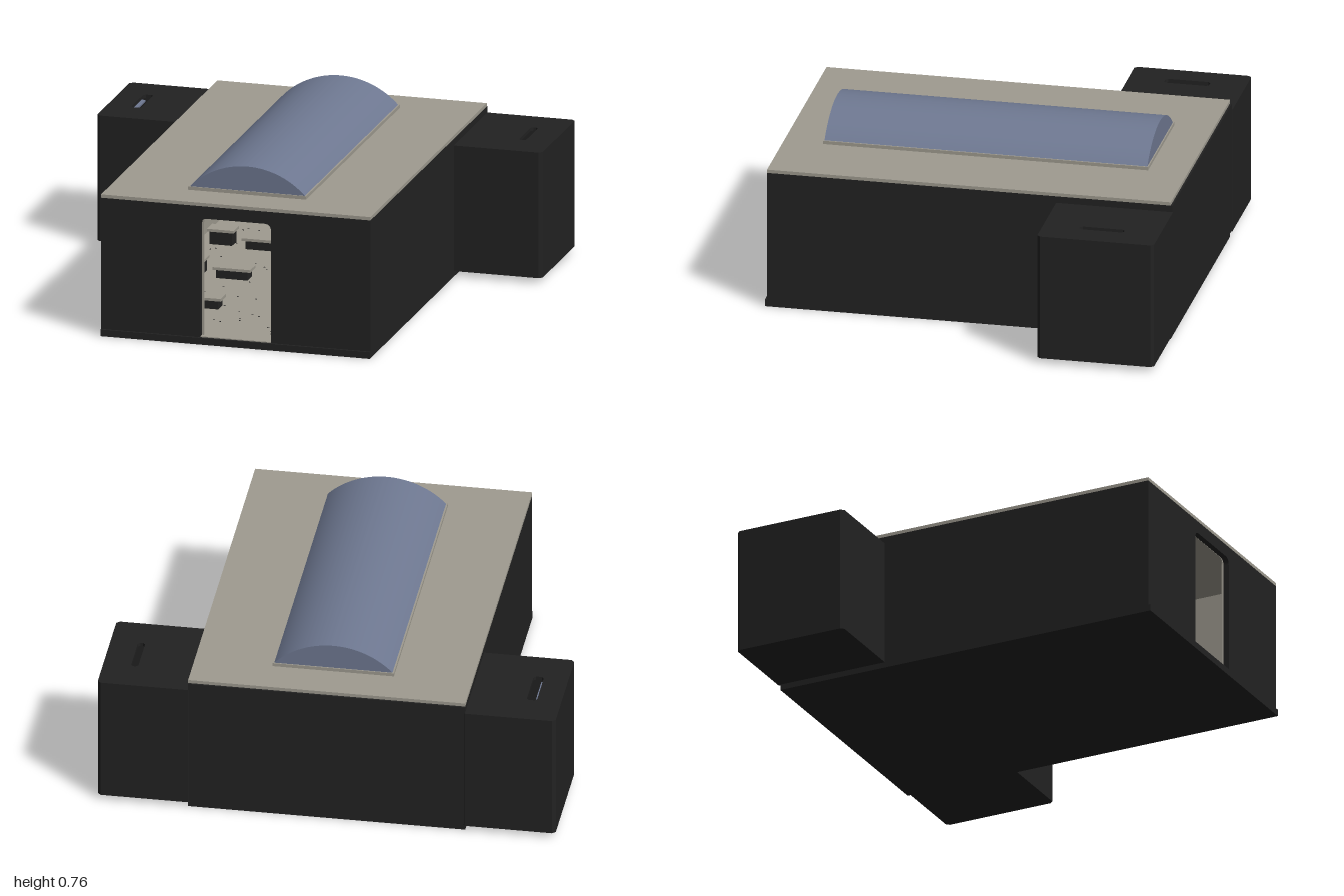
import * as THREE from 'three';
import { toCreasedNormals } from 'three/addons/utils/BufferGeometryUtils.js';

const mat = (name, color) => {
  const m = new THREE.MeshStandardMaterial({ color });
  m.name = name;
  return m;
};

export function createModel() {
  const group = new THREE.Group();
  const dark = mat('charcoal', 0x222222);
  const stone = mat('warm stone', 0x9f9b90);
  const glass = mat('blue glass', 0x6e7891);

  const add = (name, geometry, material, parent = group) => {
    const mesh = new THREE.Mesh(geometry, material);
    mesh.name = name;
    parent.add(mesh);
    return mesh;
  };
  // Box given by its limits on each axis
  const box = (name, material, x0, x1, y0, y1, z0, z1, parent) => {
    const g = new THREE.BoxGeometry(x1 - x0, y1 - y0, z1 - z0);
    g.translate((x0 + x1) / 2, (y0 + y1) / 2, (z0 + z1) / 2);
    return add(name, g, material, parent);
  };
  // Rectangle with its corners cut off
  const rect = (x0, x1, y0, y1, c = 0) => {
    const pts = c
      ? [[x0 + c, y0], [x1 - c, y0], [x1, y0 + c], [x1, y1 - c], [x1 - c, y1], [x0 + c, y1], [x0, y1 - c], [x0, y0 + c]]
      : [[x0, y0], [x1, y0], [x1, y1], [x0, y1]];
    return new THREE.Shape(pts.map(([x, y]) => new THREE.Vector2(x, y)));
  };
  const extrude = (shape, depth) =>
    new THREE.ExtrudeGeometry(shape, { depth, bevelEnabled: false, curveSegments: 12 });
  // Plan drawn in x and z, extruded downwards from the given top
  const plan = (shape, y0, y1) => extrude(shape, y1 - y0).rotateX(Math.PI / 2).translate(0, y1, 0);

  // Base and floor
  box('base', dark, -0.605, 0.605, 0, 0.03, -0.89, 0.9);
  box('floor', stone, -0.57, 0.57, 0.03, 0.034, -0.86, 0.888);

  // Front wall with round-topped doorway
  const frontShape = () => {
    const s = new THREE.Shape();
    s.moveTo(-0.605, 0.03);
    s.lineTo(-0.158, 0.03);
    s.lineTo(-0.158, 0.535);
    s.quadraticCurveTo(-0.158, 0.565, -0.128, 0.565);
    s.lineTo(0.128, 0.565);
    s.quadraticCurveTo(0.158, 0.565, 0.158, 0.535);
    s.lineTo(0.158, 0.03);
    s.lineTo(0.605, 0.03);
    s.lineTo(0.605, 0.62);
    s.lineTo(-0.605, 0.62);
    return s;
  };
  add('frontWall', extrude(frontShape(), 0.025).translate(0, 0, 0.865), dark);
  const liner = extrude(frontShape(), 0.005).scale(0.95, 1, 1).translate(0, 0, 0.859);
  add('frontLining', liner, stone);

  // Side and back walls with pale lining
  for (const s of [-1, 1]) {
    const side = (name, m, a, b, z0, z1) =>
      box(name, m, Math.min(s * a, s * b), Math.max(s * a, s * b), 0.03, 0.62, z0, z1);
    side('sideWall', dark, 0.575, 0.605, -0.89, 0.865);
    side('sideLining', stone, 0.57, 0.575, -0.86, 0.865);
  }
  box('backWall', dark, -0.605, 0.605, 0.03, 0.62, -0.898, -0.865);
  box('backLining', stone, -0.575, 0.575, 0.03, 0.62, -0.865, -0.86);

  // Roof slab and skylight curb, open beneath the vault
  const frame = (x, z0, z1) => {
    const s = rect(-x, x, z0, z1);
    s.holes.push(rect(-0.24, 0.24, -0.69, 0.69));
    return s;
  };
  add('roof', plan(frame(0.605, -0.89, 0.89), 0.62, 0.635), stone);
  add('skylightCurb', plan(frame(0.265, -0.717, 0.717), 0.635, 0.65), stone);

  // Vaulted skylight
  const half = 0.26, rise = 0.112;
  const radius = (half * half + rise * rise) / (2 * rise);
  const angle = Math.asin(half / radius);
  const arc = new THREE.Shape();
  arc.absarc(0, 0.648 + rise - radius, radius, Math.PI / 2 - angle, Math.PI / 2 + angle, false);
  arc.closePath();
  const vault = new THREE.ExtrudeGeometry(arc, { depth: 1.424, bevelEnabled: false, curveSegments: 40 });
  add('skylight', toCreasedNormals(vault.translate(0, 0, -0.712), 0.5), glass);

  // Rear side wings: chamfered walls, floor and slotted roof
  for (const s of [-1, 1]) {
    const wing = new THREE.Group();
    wing.name = s > 0 ? 'leftWing' : 'rightWing';
    group.add(wing);
    const span = (a, b) => (s > 0 ? [a, b] : [-b, -a]);
    const outer = () => rect(...span(0.59, 1), -0.9, -0.385, 0.014);
    const walls = outer();
    walls.holes.push(rect(...span(0.61, 0.975), -0.875, -0.41));
    add('wingWalls', plan(walls, 0.035, 0.575), dark, wing);
    add('wingBase', plan(outer(), 0.025, 0.035), dark, wing);
    box('wingFloor', stone, ...span(0.61, 0.975), 0.035, 0.04, -0.875, -0.41, wing);
    const top = outer();
    top.holes.push(rect(...span(0.848, s > 0 ? 0.88 : 0.893), -0.742, -0.545, 0.01));
    add('wingRoof', plan(top, 0.575, 0.59), dark, wing);
  }
  box('slotGlass', glass, -0.9, -0.882, 0.56, 0.568, -0.735, -0.55);

  // Low benches and stools beside the hall's central aisle
  const furniture = (name, x, z, w, d, h) => {
    const g = new THREE.Group();
    g.name = name;
    g.position.set(x, 0.034, z);
    group.add(g);
    box('seatTop', stone, -w / 2, w / 2, h - 0.012, h, -d / 2, d / 2, g);
    box('seatBase', dark, -w * 0.42, w * 0.42, 0, h - 0.012, -d * 0.4, d * 0.4, g);
  };
  for (const s of [-1, 1]) {
    for (const z of [0.45, 0, -0.45]) {
      furniture('bench', s * 0.27, z, 0.17, 0.08, 0.05);
      furniture('sideBench', s * 0.46, z - 0.03, 0.12, 0.08, 0.07);
    }
    furniture('stool', s * 0.25, 0.64, 0.05, 0.05, 0.03);
  }

  // Scattered flecks in the floor
  let seed = 7;
  const rand = () => (seed = (seed * 16807) % 2147483647) / 2147483647;
  const fleck = new THREE.BoxGeometry(0.008, 0.001, 0.006);
  const flecks = new THREE.InstancedMesh(fleck, dark, 0);
  const count = 140;
  for (let i = 0; i < count; i++) {
    const m = add('floorFleck', fleck, flecks.material);
    m.position.set((rand() - 0.5) * 1.1, 0.0345, (rand() - 0.5) * 1.66);
    m.rotation.y = rand() * Math.PI;
  }
  return group;
}
